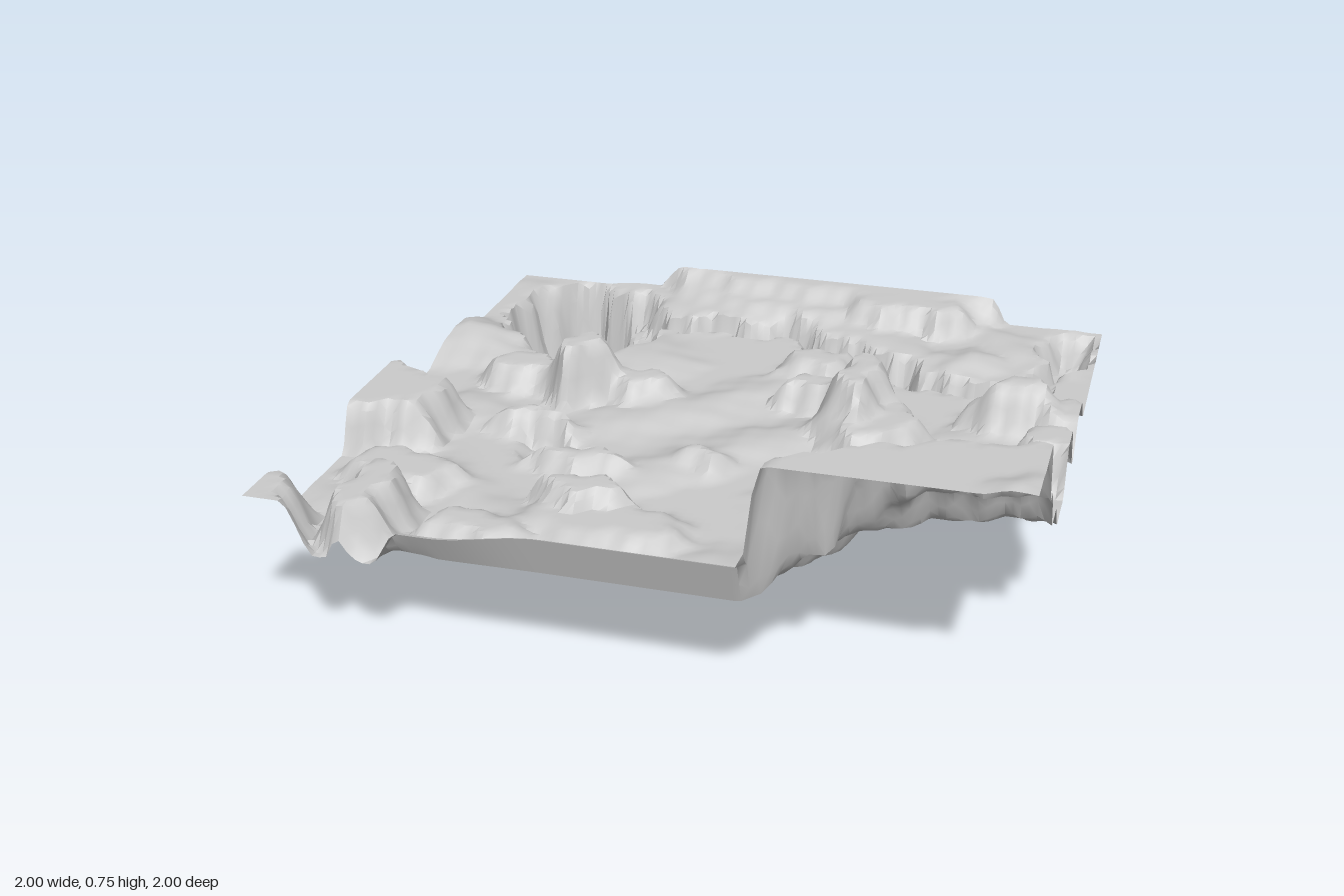
import * as THREE from 'three';
import { toCreasedNormals } from 'three/addons/utils/BufferGeometryUtils.js';

const GROUND = 0.31;
const RIVER_BED = 0.2;

// Course of the narrow river, [x, z]
const river = [
  [-0.48, -0.71], [-0.06, -0.73], [0.05, -0.76], [0.12, -0.67], [0.38, -0.59],
  [0.48, -0.465], [0.8, -0.465], [0.87, -0.63], [0.92, -0.75],
];

// Oval hollows: x, z, x radius, z radius, floor height
const hollows = [
  [0.9, -0.84, 0.08, 0.13, RIVER_BED],
  [-0.63, -0.64, 0.23, 0.3, RIVER_BED],
  [-0.725, -0.7, 0.195, 0.27, 0],
];

// Corner plateau in steps, same layout, last number is the top height
const plateau = [
  [1, 1.1, 0.68, 0.74, 0.41],
  [0.76, 0.48, 0.3, 0.12, 0.41],
  [1.05, 1.15, 0.68, 0.63, 0.54],
  [1.1, 1.15, 0.84, 0.5, 0.73],
];

// Flat-topped hills, same layout
const hills = [
  [0.1, -1, 0.57, 0.21, 0.36],      // back ridge
  [0.1, -1.02, 0.58, 0.12, 0.4],
  [0.38, -0.9, 0.22, 0.1, 0.4],
  [-1, 0.24, 0.26, 0.19, 0.45],     // left edge
  [-0.74, 0.82, 0.1, 0.18, 0.45],
  [-1, 1, 0.14, 0.2, 0.46],
  [-0.77, 0.55, 0.17, 0.13, 0.37],
  [-0.66, -0.15, 0.15, 0.1, 0.39],  // middle left
  [-0.34, -0.14, 0.16, 0.09, 0.39],
  [-0.48, -0.1, 0.1, 0.1, 0.5],
  [0.27, -0.21, 0.16, 0.09, 0.4],   // middle right
  [0.42, -0.03, 0.17, 0.18, 0.4],
  [0.37, -0.12, 0.09, 0.15, 0.5],
  [0.87, -0.22, 0.23, 0.12, 0.4],   // right edge
  [0.84, -0.21, 0.11, 0.08, 0.47],
  [1, 0.08, 0.18, 0.11, 0.45],
  [0.18, -0.44, 0.13, 0.1, 0.38],   // low rises on the plain
  [-0.52, 0.16, 0.15, 0.06, 0.38],
  [-0.32, 0.36, 0.16, 0.07, 0.37],
  [0.01, 0.25, 0.09, 0.06, 0.37],
  [-0.23, 0.6, 0.14, 0.09, 0.41],
  [-0.14, 0.68, 0.24, 0.13, 0.36],
  [-0.45, 0.8, 0.15, 0.1, 0.37],
];

// Cones: x, z, change of height, radius
const cones = [
  [-0.45, 0.27, -0.11, 0.1], [0.62, -0.64, 0.04, 0.13], [-0.98, -0.38, 0.06, 0.22], [0.96, 0.96, 0.025, 0.1],
];
// ring of spires in the pit
for (let i = 0; i < 6; i++) {
  const a = i * Math.PI / 3 + 0.4;
  cones.push([-0.7 + 0.1 * Math.cos(a), -0.65 + 0.14 * Math.sin(a), 0.2 + 0.03 * Math.cos(a), 0.06]);
}

// Distance to the middle of the river
function riverDistance(x, z) {
  let best = Infinity;
  for (let i = 1; i < river.length; i++) {
    const [ax, az] = river[i - 1], [bx, bz] = river[i];
    const dx = bx - ax, dz = bz - az;
    const t = THREE.MathUtils.clamp(((x - ax) * dx + (z - az) * dz) / (dx * dx + dz * dz), 0, 1);
    best = Math.min(best, Math.hypot(x - ax - t * dx, z - az - t * dz));
  }
  return best;
}

// Distance to an oval's outline, positive inside
function ovalDistance(x, z, [cx, cz, rx, rz]) {
  const u = (x - cx) / rx, v = (z - cz) / rz;
  const f = Math.hypot(u, v) + 1e-9;
  return (1 - f) * f / (Math.hypot(u / rx, v / rz) + 1e-9);
}

// Move a height towards a level across a slope of the given width
const blend = (y, level, distance, width) =>
  THREE.MathUtils.lerp(y, level, THREE.MathUtils.smoothstep(distance, -width * 0.3, width * 0.7));

// Thin raised lip along the front edge, lower towards its left end
function frontRim(x, z) {
  const along = THREE.MathUtils.smoothstep(x, -0.66, -0.58) * (1 - THREE.MathUtils.smoothstep(x, 0.4, 0.5));
  const top = THREE.MathUtils.lerp(0.41, 0.45, THREE.MathUtils.smoothstep(x, -0.5, -0.2));
  return GROUND + (top - GROUND) * along * THREE.MathUtils.smoothstep(z, 0.93, 0.99);
}

function heightAt(x0, z0) {
  // ragged outlines
  const x = x0 + 0.014 * Math.sin(z0 * 31 + x0 * 9) + 0.008 * Math.sin(z0 * 67 + 1);
  const z = z0 + 0.014 * Math.sin(x0 * 29 - z0 * 11) + 0.008 * Math.sin(x0 * 71 + 2);
  // gentle swells on the plain
  let y = GROUND + 0.025 * Math.max(0, Math.sin(x * 7 + 2 * Math.sin(z * 4)) * Math.sin(z * 8 + 1.5 * Math.sin(x * 5)));
  y = blend(y, RIVER_BED, 0.042 - riverDistance(x, z), 0.045);
  for (const h of hollows) y = Math.min(y, blend(y, h[4], ovalDistance(x, z, h), 0.06));
  for (const h of [...plateau, ...hills]) y = Math.max(y, blend(y, h[4], ovalDistance(x, z, h), 0.08));
  for (const [cx, cz, h, r] of cones) y += h * Math.max(0, 1 - Math.hypot(x - cx, z - cz) / r);
  return z0 > 0.9 ? Math.max(y, frontRim(x0, z0)) : y;
}

export function createModel() {
  const group = new THREE.Group();
  group.name = 'landscape';

  // Open sheet of ground
  const sheet = new THREE.PlaneGeometry(2, 2, 100, 100).rotateX(-Math.PI / 2);
  const pos = sheet.attributes.position;
  for (let i = 0; i < pos.count; i++) pos.setY(i, heightAt(pos.getX(i), pos.getZ(i)));

  const terrain = new THREE.Mesh(
    toCreasedNormals(sheet, Math.PI / 5),
    new THREE.MeshStandardMaterial({ color: 0xcccccc, side: THREE.DoubleSide })
  );
  terrain.name = 'terrain';
  group.add(terrain);
  return group;
}
